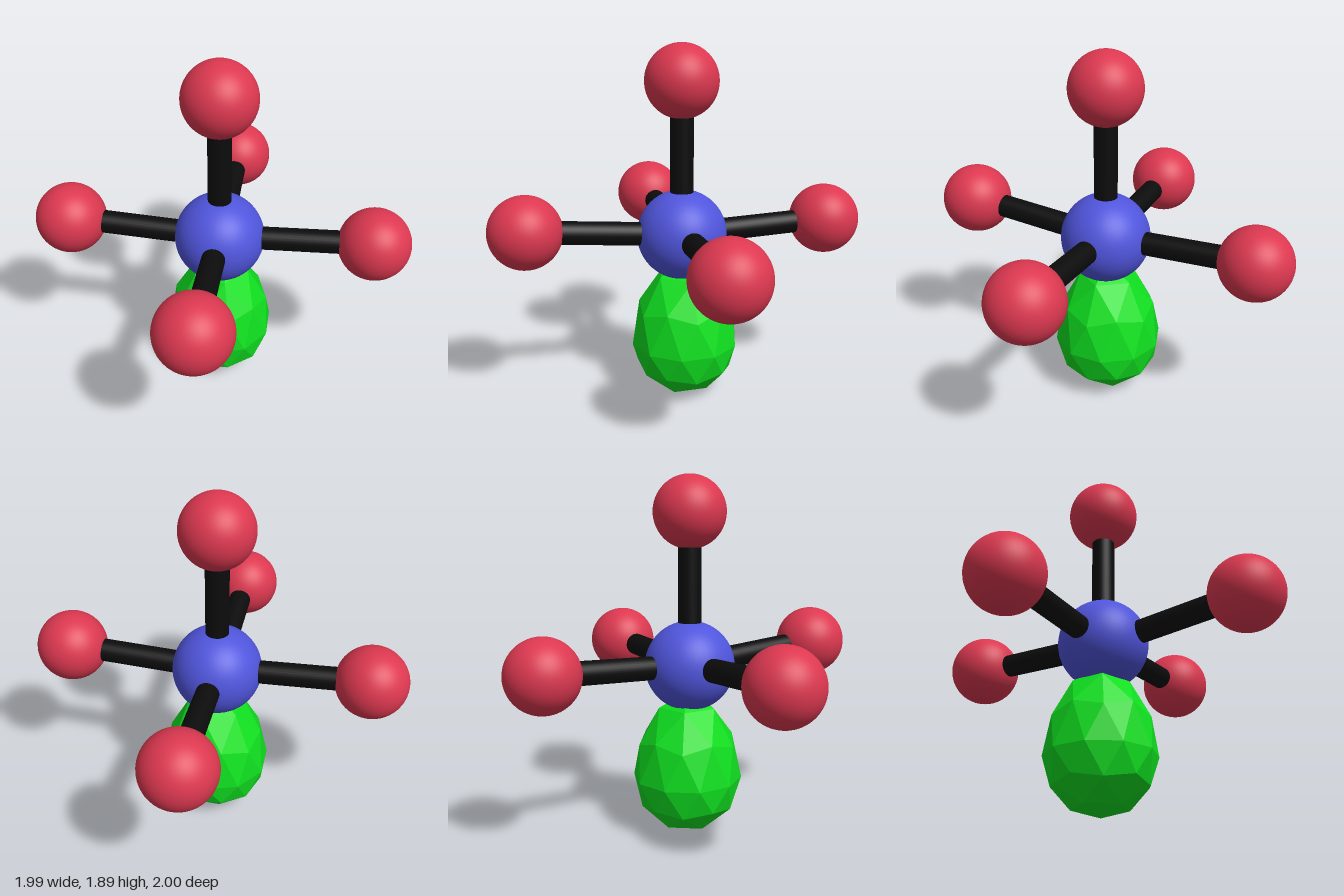
import * as THREE from 'three';

const UP = new THREE.Vector3(0, 1, 0);
const CENTRE = new THREE.Vector3(0, 0.9, 0);

const paint = (color, flatShading = false) => new THREE.MeshStandardMaterial({ color, flatShading });

function ball(name, radius, position, material) {
  const mesh = new THREE.Mesh(new THREE.SphereGeometry(radius, 48, 32), material);
  mesh.name = name;
  mesh.position.copy(position);
  return mesh;
}

// Rod running from one point to another
function rod(name, from, to, material) {
  const axis = to.clone().sub(from);
  const mesh = new THREE.Mesh(new THREE.CylinderGeometry(0.061, 0.061, axis.length(), 32), material);
  mesh.name = name;
  mesh.position.copy(from).addScaledVector(axis, 0.5);
  mesh.quaternion.setFromUnitVectors(UP, axis.normalize());
  return mesh;
}

// Faceted egg: an icosphere standing on a vertex, stretched towards the top
function lobeGeometry() {
  const geometry = new THREE.IcosahedronGeometry(1, 1);
  geometry.rotateZ(-Math.atan(2 / (1 + Math.sqrt(5))));
  const p = geometry.attributes.position;
  for (let i = 0; i < p.count; i++) {
    const t = p.getY(i);
    const y = 0.3 + (t > 0 ? 0.38 * t + 0.08 * t * t : 0.3 * t);
    p.setXYZ(i, p.getX(i) * 0.29, y, p.getZ(i) * 0.29 - 0.015);
  }
  geometry.computeVertexNormals();
  return geometry;
}

export function createModel() {
  const group = new THREE.Group();
  group.name = 'moleculeModel';
  const red = paint(0xdc3850);
  const black = paint(0x0c0c0c);

  group.add(ball('centralAtom', 0.237, CENTRE, paint(0x5055dc)));

  // Five outer atoms, each joined to the centre by a bond
  const outer = {
    top: [0, 1.697, 0],
    left: [0.805, 0.933, 0],
    right: [-0.805, 0.94, 0],
    front: [0, 0.97, 0.81],
    back: [0, 0.93, -0.81],
  };
  for (const [side, xyz] of Object.entries(outer)) {
    const end = new THREE.Vector3(...xyz);
    const arm = new THREE.Group();
    arm.name = side + 'Arm';
    arm.add(ball(side + 'Atom', 0.189, end, red), rod(side + 'Bond', CENTRE, end, black));
    group.add(arm);
  }

  // Lone-pair lobe below the centre
  const lobe = new THREE.Mesh(lobeGeometry(), paint(0x10e020, true));
  lobe.name = 'lonePairLobe';
  group.add(lobe);

  return group;
}
